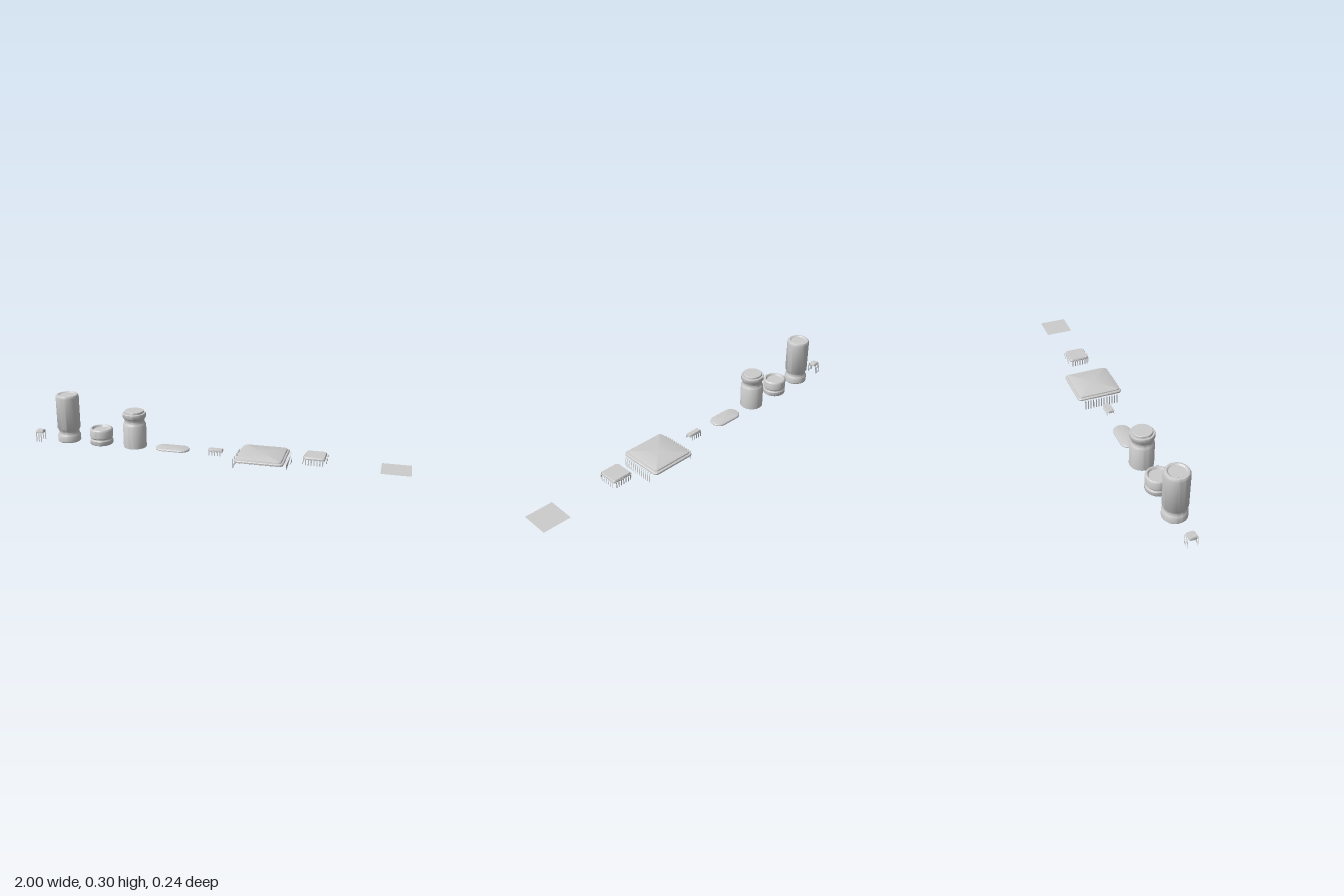
import * as THREE from 'three';
import { toCreasedNormals } from 'three/addons/utils/BufferGeometryUtils.js';

const grey = new THREE.MeshStandardMaterial({ color: 0xcccccc });
const thin = new THREE.MeshStandardMaterial({ color: 0xcccccc, side: THREE.DoubleSide });
const BOARD = 0.045; // height of the mounting surface

function add(parent, name, geometry, material = grey) {
  const mesh = new THREE.Mesh(geometry, material);
  mesh.name = name;
  parent.add(mesh);
  return mesh;
}

// Turned can with a rolled groove; points are [radius, y]
function can(parent, name, x, points) {
  const geo = new THREE.LatheGeometry(points.map(p => new THREE.Vector2(...p)), 40);
  add(parent, name, toCreasedNormals(geo, 0.6)).position.x = x;
}

// Concave groove between two heights
function groove(r, depth, y0, y1, n = 8) {
  return Array.from({ length: n + 1 }, (_, i) =>
    [r - depth * Math.sin(Math.PI * i / n), y0 + (y1 - y0) * i / n]);
}

// Closed loft through rounded rectangles; levels are [y, halfX, halfZ, cornerRadius]
function slab(levels, seg = 6) {
  const pos = [], idx = [], n = 4 * (seg + 1);
  for (const [y, hx, hz, r] of levels) {
    for (let q = 0; q < 4; q++) {
      const sx = q === 0 || q === 3 ? 1 : -1, sz = q < 2 ? 1 : -1;
      for (let i = 0; i <= seg; i++) {
        const a = (q + i / seg) * Math.PI / 2;
        pos.push(sx * (hx - r) + r * Math.cos(a), y, sz * (hz - r) + r * Math.sin(a));
      }
    }
  }
  const top = levels.length - 1, cb = pos.length / 3, ct = cb + 1;
  pos.push(0, levels[0][0], 0, 0, levels[top][0], 0);
  for (let j = 0; j < n; j++) {
    const k = (j + 1) % n;
    for (let l = 0; l < top; l++) {
      const a = l * n + j, b = l * n + k;
      idx.push(a, a + n, b, b, a + n, b + n);
    }
    idx.push(cb, j, k, ct, top * n + k, top * n + j);
  }
  const geo = new THREE.BufferGeometry();
  geo.setAttribute('position', new THREE.Float32BufferAttribute(pos, 3));
  geo.setIndex(idx);
  return toCreasedNormals(geo, 0.5);
}

// Row of bent ribbon legs on one side; turn rotates the row about y
function legs(parent, turn, { count, pitch, width, inner, outer, top, bottom }) {
  const row = new THREE.Group();
  row.name = 'legRow';
  row.rotation.y = turn;
  const shelf = new THREE.PlaneGeometry(width, outer - inner).rotateX(-Math.PI / 2);
  const drop = new THREE.PlaneGeometry(width, top - bottom);
  for (let i = 0; i < count; i++) {
    const x = (i - (count - 1) / 2) * pitch;
    add(row, 'legShoulder', shelf, thin).position.set(x, top, (inner + outer) / 2);
    add(row, 'leg', drop, thin).position.set(x, (top + bottom) / 2, outer);
  }
  parent.add(row);
}

function chip(parent, name, x, levels, sides, spec) {
  const g = new THREE.Group();
  g.name = name;
  g.position.x = x;
  add(g, 'chipBody', slab(levels));
  for (const s of sides) legs(g, s * Math.PI / 2, spec);
  parent.add(g);
}

export function createModel() {
  const model = new THREE.Group();
  model.name = 'electronicComponents';

  // Capacitors
  const R = 0.061;
  can(model, 'tallCapacitor', -0.807, [
    [0, BOARD], [0.058, BOARD], [R, 0.049], ...groove(R, 0.008, 0.078, 0.118),
    [R, 0.288], [0.0595, 0.296], [0.056, 0.302], [0.05, 0.304],
    [0.046, 0.304], [0.04, 0.299], [0, 0.299]]);
  can(model, 'shortCapacitor', -0.62, [
    [0, BOARD], [0.059, BOARD], [R, 0.048], ...groove(R, 0.005, 0.068, 0.084),
    [R, 0.122], [0.059, 0.127], [0.055, 0.13], [0.049, 0.13], [0.043, 0.12], [0, 0.12]]);
  can(model, 'mediumCapacitor', -0.43, [
    [0, BOARD], [R, BOARD], ...groove(R, 0.009, 0.167, 0.209),
    [R, 0.228], [0.059, 0.231], [0.051, 0.231], [0.05, 0.24], [0.048, 0.242], [0, 0.242]]);

  // Flat oval crystal
  add(model, 'crystal', slab([
    [BOARD, 0.091, 0.045, 0.045], [0.05, 0.091, 0.045, 0.045],
    [0.054, 0.088, 0.042, 0.042], [0.056, 0.081, 0.035, 0.035]], 12)).position.x = -0.222;

  // Tiny three-by-two chip, legs front and back
  chip(model, 'tinyChip', -0.978,
    [[0.074, 0.021, 0.018, 0.002], [0.082, 0.021, 0.018, 0.002], [0.088, 0.018, 0.015, 0.002]],
    [0, 2], { count: 3, pitch: 0.0135, width: 0.006, inner: 0.015, outer: 0.025, top: 0.08, bottom: 0.026 });

  // Small chip, legs front and back
  chip(model, 'smallChip', 0.011,
    [[0.057, 0.038, 0.015, 0.002], [0.063, 0.038, 0.015, 0.002], [0.069, 0.036, 0.012, 0.002]],
    [0, 2], { count: 5, pitch: 0.0149, width: 0.005, inner: 0.013, outer: 0.02, top: 0.062, bottom: 0.037 });

  // Large chip, legs on its two x sides
  chip(model, 'largeChip', 0.258,
    [[0.048, 0.12, 0.118, 0.018], [0.05, 0.124, 0.122, 0.02], [0.057, 0.124, 0.122, 0.02],
      [0.06, 0.121, 0.119, 0.018], [0.061, 0.114, 0.112, 0.016], [0.067, 0.112, 0.11, 0.015],
      [0.07, 0.106, 0.104, 0.012]],
    [1, 3], { count: 13, pitch: 0.0149, width: 0.006, inner: 0.115, outer: 0.138, top: 0.051, bottom: 0 });

  // Square chip, legs on all four sides
  chip(model, 'squareChip', 0.529,
    [[0.073, 0.052, 0.053, 0.012], [0.08, 0.052, 0.053, 0.012], [0.087, 0.048, 0.049, 0.011]],
    [0, 1, 2, 3], { count: 7, pitch: 0.0142, width: 0.0055, inner: 0.045, outer: 0.058, top: 0.078, bottom: 0.047 });

  // Bare square plate
  add(model, 'plate', new THREE.PlaneGeometry(0.147, 0.147).rotateX(-Math.PI / 2), thin)
    .position.set(0.926, BOARD, 0);

  return model;
}
